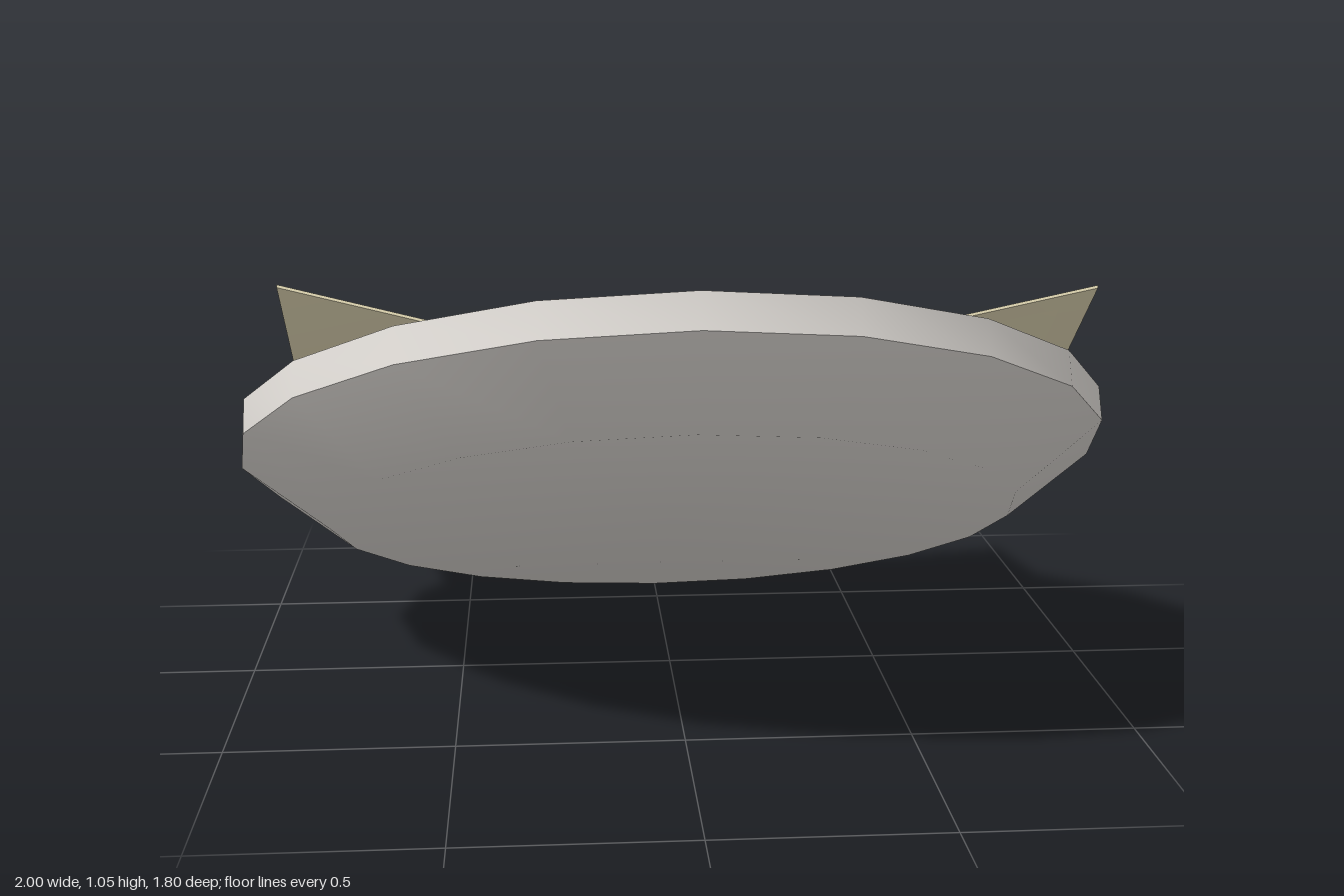
import * as THREE from 'three';
import { toCreasedNormals } from 'three/addons/utils/BufferGeometryUtils.js';

const TILT = 28.4 * Math.PI / 180;

function material(name, color) {
  const m = new THREE.MeshStandardMaterial({ color, side: THREE.DoubleSide });
  m.name = name;
  return m;
}

export function createModel() {
  const model = new THREE.Group();
  model.name = 'servingPlate';
  const china = material('china', 0xdedad5);
  const paper = material('paper', 0xe6dcb8);
  const baked = material('bakedBrown', 0x5d3b0a);

  // Everything is built level, with y = 0 at the rim, then tilted
  const tilted = new THREE.Group();
  tilted.name = 'tiltedPlate';
  tilted.rotation.x = -TILT;
  tilted.position.set(0, 0.577, -0.015);
  model.add(tilted);

  function add(name, geometry, mat) {
    const mesh = new THREE.Mesh(geometry, mat);
    mesh.name = name;
    tilted.add(mesh);
    return mesh;
  }

  // Plate: flat base, flared wall, upright rim and curved dish
  const profile = [
    [0, -0.226], [0.797, -0.226], [1, -0.079], [1, 0], [0.8, -0.115], [0.6, -0.145], [0, -0.15],
  ].map(([r, y]) => new THREE.Vector2(r, y));
  add('plate', toCreasedNormals(new THREE.LatheGeometry(profile, 20), 0.7), china);

  // Napkin: thin square sheet that sags in the middle, with corners lifted over the rim
  const half = 0.813;
  const sheet = new THREE.BoxGeometry(2 * half, 0.006, 2 * half, 4, 1, 4);
  const pos = sheet.attributes.position;
  for (let i = 0; i < pos.count; i++) {
    const u = pos.getX(i) / half, v = pos.getZ(i) / half;
    const sag = -0.088 + 0.058 * Math.max(u * u, v * v);
    const lift = (v > 0 ? 0.103 - 0.01 * u : 0.114) * (u * v) ** 4;
    pos.setY(i, pos.getY(i) + sag + lift);
  }
  sheet.computeVertexNormals();
  add('napkin', sheet, paper);

  // Cookies: plump ovals half sunk in the napkin, [x, z, turn in degrees]
  const cookies = [
    [-0.474, -0.324, 20], [-0.143, -0.348, 9], [0.131, -0.428, -6], [0.441, -0.281, -24],
    [-0.472, 0.012, 12], [-0.113, 0.033, 12], [0.191, -0.006, -14],
    [-0.223, 0.34, 12], [0.137, 0.376, 5], [0.441, 0.283, -24],
  ];
  const oval = new THREE.SphereGeometry(1, 24, 16);
  const height = -0.073;
  for (const [x, z, turn] of cookies) {
    const cookie = add('cookie', oval, baked);
    cookie.scale.set(0.136, 0.11, 0.191);
    cookie.position.set(x, height, (z + 0.015 + height * Math.sin(TILT)) / Math.cos(TILT));
    cookie.rotation.y = turn * Math.PI / 180;
  }
  return model;
}
